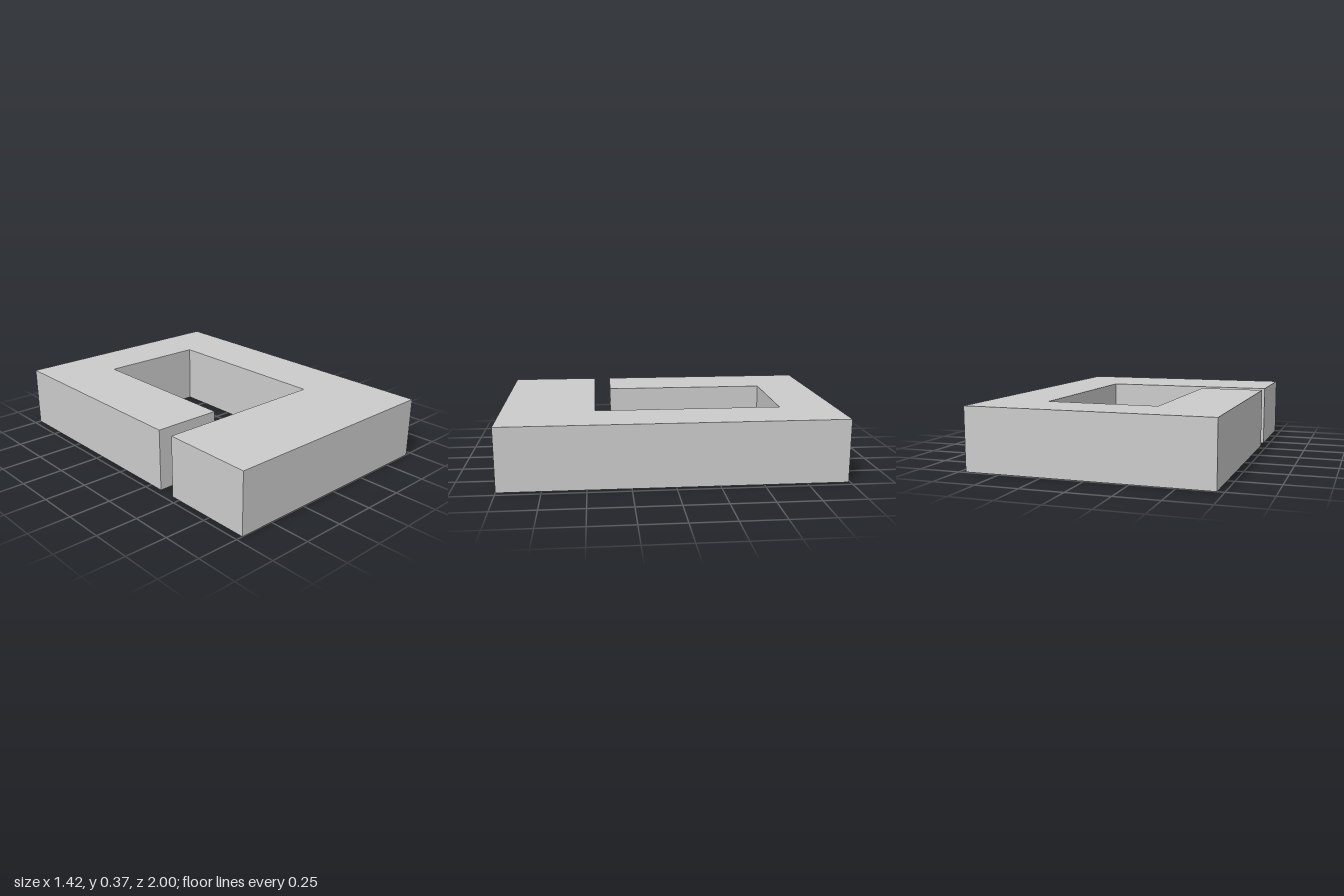
import * as THREE from 'three';

const HEIGHT = 0.37;

export function createModel() {
  const model = new THREE.Group();
  const material = new THREE.MeshStandardMaterial({ color: 0xcccccc, flatShading: true });

  // Plan outline [x, z] of the frame, open at the gap on the -x side
  const plan = [
    [-0.71, 1], [0.71, 1], [0.71, -0.99], [-0.71, -1], [-0.71, 0.34], [-0.305, 0.343],
    [-0.305, -0.67], [0.355, -0.66], [0.355, 0.445], [-0.71, 0.445],
  ];
  const shape = new THREE.Shape(plan.map(([x, z]) => new THREE.Vector2(x, -z)));
  const frameGeometry = new THREE.ExtrudeGeometry(shape, { depth: HEIGHT, bevelEnabled: false });
  frameGeometry.rotateX(-Math.PI / 2);
  const frame = new THREE.Mesh(frameGeometry, material);
  frame.name = 'openFrame';
  model.add(frame);

  // Small bar bridging the gap, flush with the underside
  const barHeight = 0.14;
  const bar = new THREE.Mesh(new THREE.BoxGeometry(0.085, barHeight, 0.103), material);
  bar.name = 'gapBridge';
  bar.position.set(-0.5025, barHeight / 2, 0.3935);
  model.add(bar);

  return model;
}
